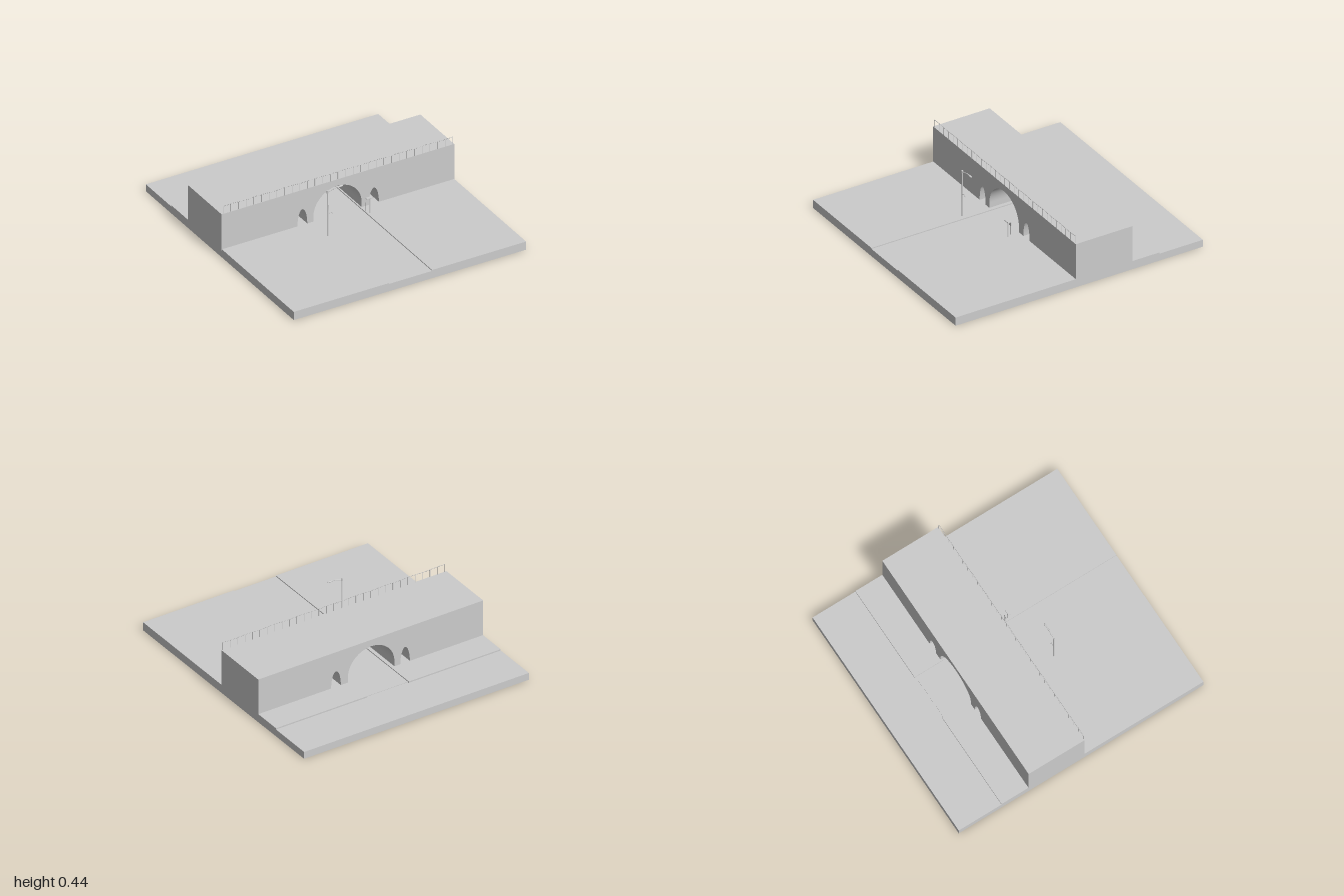
import * as THREE from 'three';
import { toCreasedNormals } from 'three/addons/utils/BufferGeometryUtils.js';

const grey = new THREE.MeshStandardMaterial({ color: 0xcccccc, side: THREE.DoubleSide });

export function createModel() {
  const model = new THREE.Group();

  function add(name, geometry, parent = model) {
    const mesh = new THREE.Mesh(geometry, grey);
    mesh.name = name;
    parent.add(mesh);
    return mesh;
  }
  // Box given by its limits on each axis
  function box(name, [x0, x1], [y0, y1], [z0, z1], parent, openBottom = false) {
    const g = new THREE.BoxGeometry(x1 - x0, y1 - y0, z1 - z0);
    g.translate((x0 + x1) / 2, (y0 + y1) / 2, (z0 + z1) / 2);
    if (openBottom) {
      const index = Array.from(g.index.array);
      index.splice(18, 6);
      g.setIndex(index);
      g.clearGroups();
    }
    return add(name, g, parent);
  }
  function post(name, x, z, y0, y1, r0, r1, parent) {
    const g = new THREE.CylinderGeometry(r1, r0, y1 - y0, 10);
    g.translate(x, (y0 + y1) / 2, z);
    return add(name, g, parent);
  }

  const left = -0.928, right = 0.925;

  // Ground: hollow base, raised pavements either side of a sunken road
  const ground = new THREE.Group();
  ground.name = 'ground';
  model.add(ground);
  box('groundBase', [left, right], [0, 0.055], [-1, 1], ground, true);
  box('road', [-0.17, 0.175], [0, 0.058], [-0.64, 1], ground);
  box('rightPavement', [left, -0.17], [0.055, 0.065], [-0.65, 1], ground, true);
  box('leftPavement', [0.175, right], [0.055, 0.065], [-0.65, 1], ground, true);

  // Bridge: block with one wide arch and two narrow ones, open at the bottom
  const bottom = 0.056;
  const outline = new THREE.Shape();
  outline.moveTo(left - 0.002, bottom);
  const arches = [
    { x: -0.286, rx: 0.039, y: 0.065, ry: 0.125 },
    { x: -0.006, rx: 0.192, y: 0.105, ry: 0.188 },
    { x: 0.284, rx: 0.04, y: 0.065, ry: 0.125 },
  ];
  for (const a of arches) {
    outline.lineTo(a.x - a.rx, bottom);
    outline.lineTo(a.x - a.rx, a.y);
    outline.absellipse(a.x, a.y, a.rx, a.ry, Math.PI, 0, true);
    outline.lineTo(a.x + a.rx, bottom);
  }
  outline.lineTo(right, bottom);
  outline.lineTo(right, 0.345);
  outline.lineTo(left - 0.002, 0.345);
  const block = new THREE.ExtrudeGeometry(outline, { depth: 0.458, bevelEnabled: false, curveSegments: 32 });
  block.translate(0, 0, -0.43);
  add('bridge', toCreasedNormals(block, 0.6));

  // Railing: thin uprights and a slightly uneven handrail on the front edge
  const railing = new THREE.Group();
  railing.name = 'railing';
  model.add(railing);
  const count = 31, railZ = 0.026, w = 0.0015;
  const points = [];
  for (let i = 0; i < count; i++) {
    const x = -0.916 + (1.83 * i) / (count - 1);
    const y = 0.404 + 0.002 * Math.sin(i * 1.7);
    points.push(new THREE.Vector3(x, y, railZ));
    box('railingPost', [x - w, x + w], [0.345, y], [railZ - w, railZ + w], railing);
  }
  add('handrail', new THREE.TubeGeometry(new THREE.CatmullRomCurve3(points), 90, 0.002, 5), railing);

  // Street lamp with curved arm, flat head and a small bracket
  const lamp = new THREE.Group();
  lamp.name = 'streetLamp';
  model.add(lamp);
  const lx = -0.21, lz = 0.24;
  post('lampPole', lx, lz, 0.06, 0.415, 0.006, 0.004, lamp);
  post('lampCollar', lx, lz, 0.405, 0.425, 0.007, 0.007, lamp);
  const arm = new THREE.CatmullRomCurve3([
    new THREE.Vector3(lx, 0.41, lz),
    new THREE.Vector3(-0.18, 0.421, lz),
    new THREE.Vector3(-0.15, 0.43, lz),
    new THREE.Vector3(-0.115, 0.433, lz),
  ]);
  add('lampArm', new THREE.TubeGeometry(arm, 16, 0.004, 8), lamp);
  const head = add('lampHead', new THREE.SphereGeometry(1, 14, 8), lamp);
  head.scale.set(0.02, 0.006, 0.008);
  head.position.set(-0.107, 0.431, lz);
  const bracket = new THREE.CatmullRomCurve3([
    new THREE.Vector3(lx, 0.232, lz),
    new THREE.Vector3(-0.195, 0.241, lz),
    new THREE.Vector3(-0.178, 0.243, lz),
    new THREE.Vector3(-0.173, 0.228, lz),
  ]);
  add('bracket', new THREE.TubeGeometry(bracket, 12, 0.002, 6), lamp);

  // Short post with a crossbar
  const marker = new THREE.Group();
  marker.name = 'crossbarPost';
  model.add(marker);
  post('markerPole', 0.196, 0.124, 0.06, 0.187, 0.004, 0.003, marker);
  box('crossbar', [0.168, 0.216], [0.182, 0.188], [0.114, 0.134], marker);

  // Small road sign
  const sign = new THREE.Group();
  sign.name = 'roadSign';
  model.add(sign);
  post('signPole', 0.182, 0.094, 0.06, 0.165, 0.002, 0.002, sign);
  box('signPlate', [0.169, 0.196], [0.14, 0.168], [0.095, 0.098], sign);

  return model;
}
